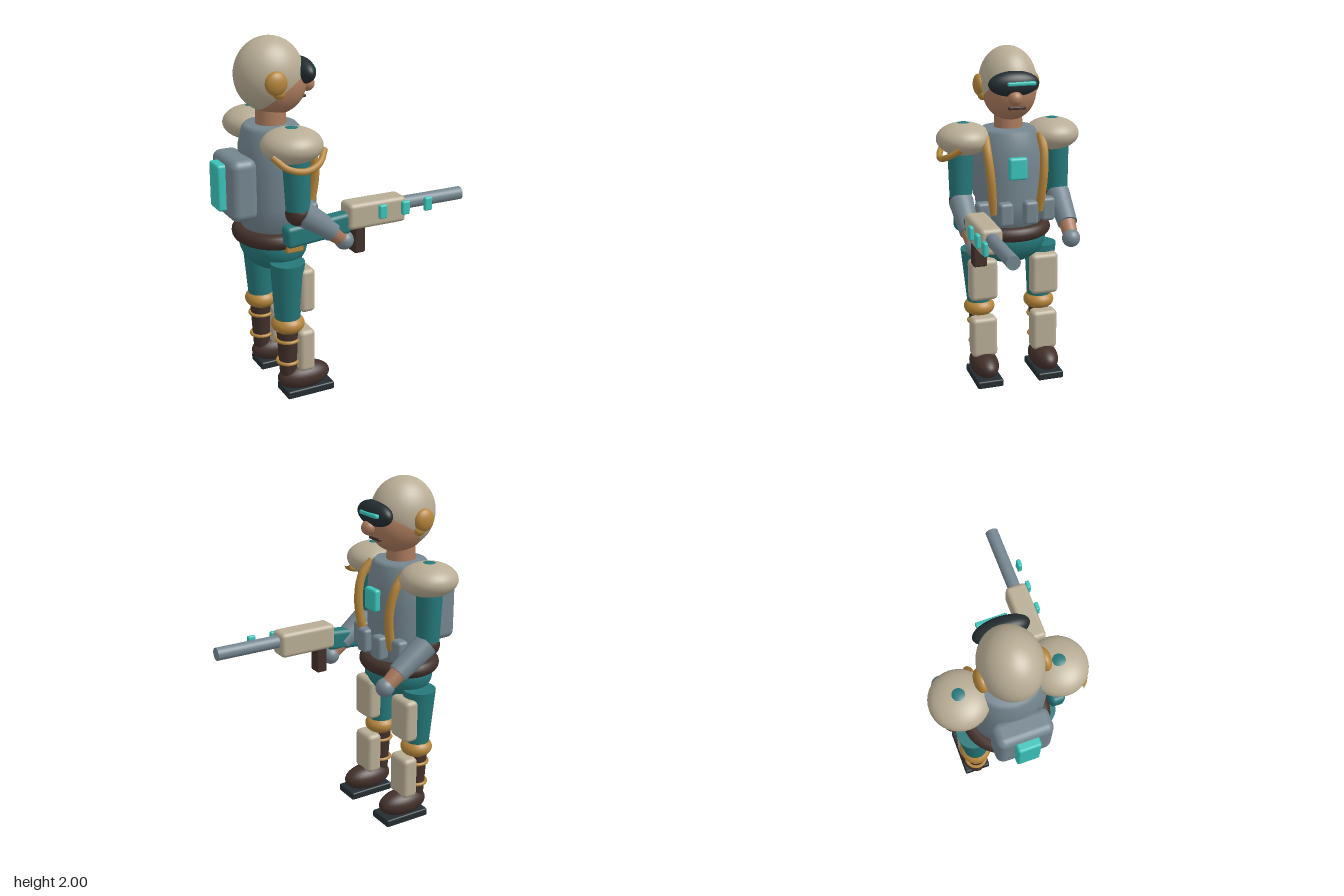
import * as THREE from 'three';
import { RoundedBoxGeometry } from 'three/addons/geometries/RoundedBoxGeometry.js';

const mat = (name, color) => {
  const m = new THREE.MeshStandardMaterial({ color });
  m.name = name;
  return m;
};

export function createModel() {
  const armor = mat('beige armor', 0xb8ad95);
  const cloth = mat('teal cloth', 0x257779);
  const glow = mat('bright cyan', 0x3ac4ba);
  const grey = mat('blue grey', 0x74858f);
  const gold = mat('gold', 0xb5853a);
  const brown = mat('dark brown', 0x42302a);
  const dark = mat('near black', 0x232d31);
  const skin = mat('skin', 0xaa7a5c);

  const model = new THREE.Group();
  model.name = 'armoredTrooper';
  const group = (name) => {
    const g = new THREE.Group();
    g.name = name;
    model.add(g);
    return g;
  };
  const add = (parent, name, geometry, material, x = 0, y = 0, z = 0) => {
    const mesh = new THREE.Mesh(geometry, material);
    mesh.name = name;
    mesh.position.set(x, y, z);
    parent.add(mesh);
    return mesh;
  };
  const ball = (parent, name, material, x, y, z, rx, ry = rx, rz = rx) =>
    add(parent, name, new THREE.SphereGeometry(1, 36, 24).scale(rx, ry, rz), material, x, y, z);
  // Box given by its extents on each axis
  const block = (parent, name, material, [x0, x1], [y0, y1], [z0, z1], r = 0.02) =>
    add(parent, name, new RoundedBoxGeometry(x1 - x0, y1 - y0, z1 - z0, 3, r), material,
      (x0 + x1) / 2, (y0 + y1) / 2, (z0 + z1) / 2);
  // Tapered cylinder between two points
  const limb = (parent, name, material, a, b, ra, rb) => {
    const p = new THREE.Vector3(...a), q = new THREE.Vector3(...b);
    const dir = q.clone().sub(p);
    const mesh = add(parent, name, new THREE.CylinderGeometry(rb, ra, dir.length(), 28), material);
    mesh.position.copy(p).add(q).multiplyScalar(0.5);
    mesh.quaternion.setFromUnitVectors(new THREE.Vector3(0, 1, 0), dir.normalize());
    return mesh;
  };
  const strap = (parent, name, points, r) =>
    add(parent, name, new THREE.TubeGeometry(
      new THREE.CatmullRomCurve3(points.map((p) => new THREE.Vector3(...p))), 32, r, 10), gold);

  const cx = -0.35; // body axis; the figure faces +x

  // Head
  const head = group('head');
  limb(head, 'neck', skin, [cx, 1.5, 0], [cx, 1.64, 0], 0.085, 0.08);
  ball(head, 'face', skin, -0.325, 1.745, 0, 0.172, 0.165, 0.152);
  ball(head, 'helmet', armor, -0.357, 1.8, 0, 0.19, 0.2, 0.165);
  ball(head, 'visor', dark, -0.183, 1.808, 0.016, 0.063, 0.072, 0.148);
  block(head, 'visorLight', glow, [-0.14, -0.112], [1.804, 1.826], [-0.095, 0.07], 0.008);
  ball(head, 'nose', skin, -0.145, 1.732, 0.02, 0.042);
  block(head, 'mouth', brown, [-0.19, -0.163], [1.663, 1.68], [-0.05, 0.05], 0.006);
  for (const s of [1, -1]) {
    ball(head, 'earCover', gold, -0.385, 1.78, s * 0.162, 0.062, 0.063, 0.034);
    ball(head, 'earLobe', gold, -0.365, 1.725, s * 0.15, 0.035, 0.032, 0.025);
  }

  // Torso
  const torso = group('torso');
  const profile = [[0, 1.54], [0.155, 1.535], [0.175, 1.515], [0.2, 1.42], [0.207, 1.3],
    [0.2, 1.1], [0.19, 0.92], [0, 0.92]].reverse();
  add(torso, 'chest', new THREE.LatheGeometry(profile.map((p) => new THREE.Vector2(...p)), 40)
    .scale(0.88, 1, 1), grey, cx);
  ball(torso, 'pelvis', cloth, cx, 0.87, 0, 0.183, 0.158, 0.222);
  add(torso, 'belt', new THREE.TorusGeometry(0.2, 0.043, 16, 48).rotateX(Math.PI / 2)
    .scale(0.92, 1, 1.03), brown, cx, 0.928);
  block(torso, 'chestLight', glow, [-0.185, -0.14], [1.26, 1.39], [-0.055, 0.055], 0.015);
  block(torso, 'hipBuckle', gold, [-0.38, -0.28], [0.875, 0.925], [0.205, 0.255], 0.01);
  for (const s of [1, -1]) {
    strap(torso, 'chestStrap', [[-0.26, 1.5, s * 0.165], [-0.2, 1.42, s * 0.168],
      [-0.17, 1.3, s * 0.16], [-0.175, 1.18, s * 0.15], [-0.2, 1.06, s * 0.14]], 0.026);
    for (const [z, x] of [[0.075, -0.165], [0.195, -0.215]]) {
      block(torso, 'beltPouch', grey, [x - 0.035, x + 0.035], [0.99, 1.13],
        [s * z - 0.042, s * z + 0.042]);
    }
  }

  // Backpack
  const pack = group('backpack');
  block(pack, 'packBody', grey, [-0.64, -0.49], [1.05, 1.39], [-0.157, 0.157], 0.045);
  block(pack, 'packLight', glow, [-0.685, -0.62], [1.1, 1.355], [-0.065, 0.065], 0.015);

  for (const s of [1, -1]) {
    const side = s > 0 ? 'gunSide' : 'freeSide';

    // Arm, with shoulder armor
    const arm = group(side + 'Arm');
    ball(arm, 'shoulderArmor', armor, cx, 1.48, s * 0.267, 0.164, 0.095, 0.16);
    ball(arm, 'shoulderStud', cloth, cx, 1.562, s * 0.268, 0.044, 0.017, 0.044);
    limb(arm, 'upperArm', cloth, [-0.34, 1.46, s * 0.292], [-0.333, 1.12, s * 0.297], 0.075, 0.064);
    ball(arm, 'elbow', brown, -0.333, 1.115, s * 0.298, 0.068);
    limb(arm, 'forearm', grey, [-0.32, 1.117, s * 0.298], [-0.135, 0.982, s * 0.296], 0.072, 0.058);
    limb(arm, 'wrist', skin, [-0.15, 0.99, s * 0.296], [-0.07, 0.925, s * 0.292], 0.051, 0.042);
    ball(arm, 'glove', grey, -0.057, 0.914, s * 0.29, 0.053);

    // Leg
    const leg = group(side + 'Leg');
    const z = s * 0.19;
    limb(leg, 'thigh', cloth, [-0.355, 0.46, z], [-0.355, 0.81, s * 0.2], 0.07, 0.096);
    block(leg, 'thighPlate', armor, [-0.307, -0.218], [0.515, 0.77], [z - 0.085, z + 0.085], 0.028);
    ball(leg, 'knee', gold, -0.353, 0.44, z, 0.093, 0.06, 0.093);
    limb(leg, 'shin', brown, [-0.355, 0.1, z], [-0.355, 0.42, z], 0.045, 0.064);
    for (const [y, r] of [[0.345, 0.06], [0.21, 0.055]]) {
      add(leg, 'shinRing', new THREE.TorusGeometry(r + 0.005, 0.01, 8, 32).rotateX(Math.PI / 2),
        gold, -0.355, y, z);
    }
    block(leg, 'shinPlate', armor, [-0.315, -0.218], [0.15, 0.402], [z - 0.08, z + 0.08], 0.028);
    ball(leg, 'boot', brown, -0.26, 0.098, z, 0.156, 0.077, 0.084);
    block(leg, 'sole', dark, [-0.39, -0.103], [0, 0.046], [z - 0.08, z + 0.08], 0.01);
  }

  // Sling round the gun-side shoulder
  strap(model, 'shoulderSling', [[-0.49, 1.45, 0.34], [-0.43, 1.395, 0.39], [-0.34, 1.375, 0.41],
    [-0.25, 1.4, 0.385], [-0.19, 1.45, 0.32]], 0.018);

  // Gun
  const gun = group('gun');
  const gz = 0.287;
  const stock = block(gun, 'stock', cloth, [-0.41, -0.03], [0.943, 1.063], [gz - 0.043, gz + 0.043], 0.025);
  stock.rotation.z = 0.08;
  block(gun, 'gunBody', armor, [-0.053, 0.297], [0.98, 1.127], [gz - 0.062, gz + 0.062], 0.025);
  limb(gun, 'barrel', grey, [0.27, 1.07, gz], [0.68, 1.07, gz], 0.037, 0.037);
  block(gun, 'grip', brown, [-0.01, 0.057], [0.835, 1.0], [gz - 0.04, gz + 0.04], 0.012);
  for (const x of [0.14, 0.281, 0.424]) {
    block(gun, 'gunLight', glow, [x - 0.024, x + 0.024], [1.03, 1.107], [0.349, 0.375], 0.009);
  }

  return model;
}
